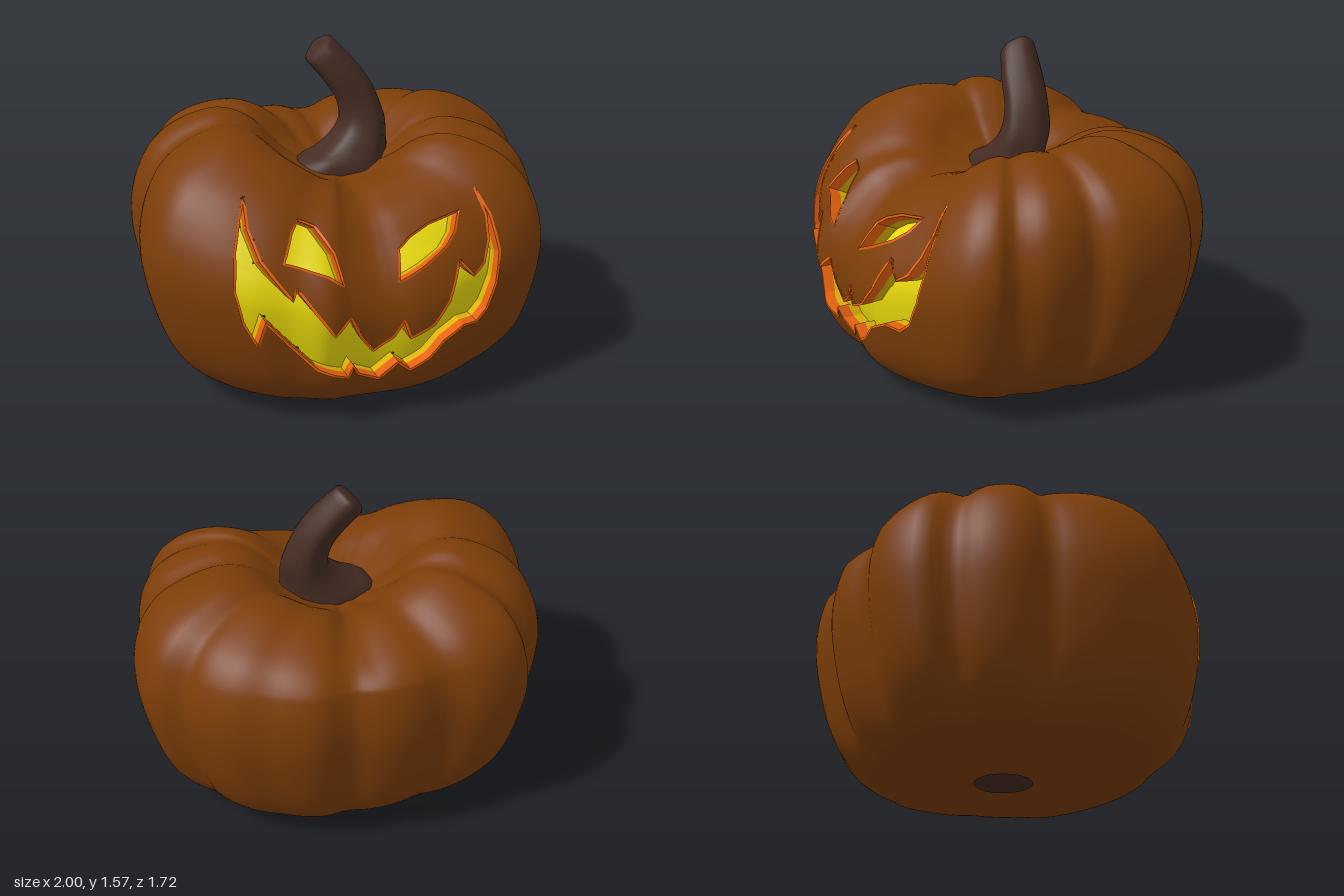
import * as THREE from 'three';

const mat = (name, color, side = THREE.FrontSide) => {
  const m = new THREE.MeshStandardMaterial({ color, side });
  m.name = name;
  return m;
};
const pairs = (a) => Array.from({ length: a.length / 2 }, (_, i) => new THREE.Vector2(a[2 * i], a[2 * i + 1]));
const clamp01 = (v) => Math.min(1, Math.max(0, v));

// Lobed outline of the pumpkin seen from above (x, z)
const OUTLINE = pairs([0, .83, .12, .85, .3, .83, .45, .78, .55, .74, .68, .7, .8, .63, .86, .52, .84, .43,
  .92, .3, .93, .15, .91, .06, .98, -.03, 1, -.2, .97, -.38, .92, -.45, .83, -.5, .78, -.6, .65, -.72, .5, -.78,
  .4, -.83, .27, -.86, .1, -.82, 0, -.85, -.1, -.86, -.2, -.84, -.35, -.78, -.5, -.79, -.65, -.74, -.77, -.64,
  -.79, -.5, -.88, -.42, -.94, -.3, -.95, -.2, -.92, -.1, -.96, 0, -1, .2, -.97, .42, -.87, .55, -.75, .66,
  -.6, .75, -.45, .79, -.3, .85, -.2, .83, -.07, .82]);
// Bottom-to-top profiles (share of radius, height): round sides and a sloping front
const SIDE = pairs([0, .005, .35, .01, .62, .03, .76, .09, .87, .22, .95, .42, 1, .68, .98, .88, .9, 1.04,
  .77, 1.14, .58, 1.2, .42, 1.16, .28, 1.04, .15, .97, 0, .95]);
const FRONT = pairs([0, .005, .35, .01, .66, .03, .84, .08, .95, .2, 1, .38, 1, .55, .93, .7, .8, .83,
  .68, .92, .52, .965, .4, .97, .28, .96, .15, .95, 0, .95]);
// Carved openings in the front plane (x, y)
const CUTS = {
  mouth: pairs([-.6, 1.06, -.61, .95, -.58, .83, -.52, .74, -.46, .655, -.44, .71, -.38, .62, -.29, .49, -.21, .56,
    -.16, .45, -.1, .37, -.01, .43, .04, .51, .07, .42, .18, .47, .26, .57, .33, .73, .4, .65, .46, .69, .5, .78,
    .51, .88, .48, .99, .53, .88, .555, .72, .53, .58, .48, .46, .42, .41, .34, .42, .24, .37, .17, .29, .08, .24,
    .02, .29, -.06, .2, -.16, .25, -.19, .3, -.21, .24, -.36, .31, -.47, .43, -.58, .56, -.61, .43, -.67, .55,
    -.7, .7, -.68, .86, -.64, .98]),
  rightEye: pairs([-.48, .81, -.42, .92, -.38, .96, -.31, .93, -.25, .83, -.23, .7, -.3, .75, -.38, .775]),
  leftEye: pairs([.03, .675, .06, .8, .12, .84, .22, .88, .38, .91, .34, .84, .28, .79, .16, .73]),
};

const TAU = Math.PI * 2, BINS = 720;
const radii = new Array(BINS).fill(.9);
const ring = new THREE.CatmullRomCurve3(OUTLINE.map((p) => new THREE.Vector3(p.x, 0, p.y)), true);
for (let i = 0; i < 6000; i++) {
  const p = ring.getPoint(i / 6000);
  radii[Math.floor((Math.atan2(p.x, p.z) / TAU + 1) * BINS) % BINS] = Math.hypot(p.x, p.z);
}
const evened = radii.map((_, i) => {
  let s = 0;
  for (let k = -45; k <= 45; k++) s += radii[(i + k + BINS) % BINS];
  return s / 91;
});
const sample = (table, a) => {
  const f = (a / TAU + 2) * BINS - .5, i = Math.floor(f);
  return THREE.MathUtils.lerp(table[i % BINS], table[(i + 1) % BINS], f - i);
};
const sideCurve = new THREE.SplineCurve(SIDE), frontCurve = new THREE.SplineCurve(FRONT);

// Point on the skin: a = angle from the front, t = 0 bottom centre to 1 top centre
function skin(a, t) {
  const s = sideCurve.getPoint(t), f = frontCurve.getPoint(t);
  const w = Math.max(0, Math.cos(a)) ** 2.5, sin = Math.sin(a);
  const back = clamp01(-3 * Math.cos(a));
  const crest = (1 - back * .6 * (1 - Math.min(1, 1.1 * Math.abs(sin)))) * (1 - .1 * sin);
  if (s.y > .95) s.y = .95 + (s.y - .95) * crest;
  s.lerp(f, w);
  const R = sample(radii, a), E = sample(evened, a);
  const r = s.x * THREE.MathUtils.lerp(E, R, clamp01((t - .1) / .2) * (1 - .6 * clamp01((t - .55) / .25)));
  const groove = .4 * (R / E - 1) * Math.sin(Math.PI * clamp01((t - .45) / .5));
  return new THREE.Vector3(r * sin, Math.max(.005, s.y + groove), r * Math.cos(a));
}

// Find the skin coordinates under a front-plane point
function locate(x, y) {
  let lo = -1.3, hi = 1.3, t = .5;
  for (let i = 0; i < 24; i++) {
    const a = (lo + hi) / 2;
    let t0 = .14, t1 = .71;
    for (let k = 0; k < 20; k++) {
      t = (t0 + t1) / 2;
      if (skin(a, t).y < y) t0 = t; else t1 = t;
    }
    if (skin(a, t).x < x) lo = a; else hi = a;
  }
  return { a: (lo + hi) / 2, t };
}

// Subdivided outline of one opening, on the plane and on the skin grid
const DA = 2.1 / 140, DT = .56 / 90;
function traceCut(points) {
  const pts = THREE.ShapeUtils.isClockWise(points) ? [...points].reverse() : points;
  const flat = [];
  pts.forEach((p, i) => {
    const q = pts[(i + 1) % pts.length], n = Math.ceil(p.distanceTo(q) / .03);
    for (let k = 0; k < n; k++) flat.push(p.clone().lerp(q, k / n));
  });
  const where = flat.map((p) => locate(p.x, p.y));
  return {
    flat,
    grid: where.map((c) => new THREE.Vector2(c.a / DA, c.t / DT)),
    depth: where.map((c) => skin(c.a, c.t).z),
  };
}
function inside(poly, x, y) {
  let hit = false;
  poly.forEach((p, i) => {
    const q = poly[(i + 1) % poly.length];
    if ((p.y > y) !== (q.y > y) && x < p.x + (q.x - p.x) * (y - p.y) / (q.y - p.y)) hit = !hit;
  });
  return hit;
}
function nearest(poly, v) {
  let best = null, dist = .62;
  poly.forEach((p, i) => {
    const d = poly[(i + 1) % poly.length].clone().sub(p);
    const c = p.clone().addScaledVector(d, clamp01(v.clone().sub(p).dot(d) / (d.lengthSq() || 1)));
    if (c.distanceTo(v) < dist) { dist = c.distanceTo(v); best = c; }
  });
  return best;
}
function geometry(positions, index) {
  const g = new THREE.BufferGeometry();
  g.setAttribute('position', new THREE.Float32BufferAttribute(positions, 3));
  if (index) g.setIndex(index);
  g.computeVertexNormals();
  return g;
}
// Point pushed into an opening; the sloping upper part also leans downward
const sink = (x, y, z, d) => [x, y - .5 * Math.max(0, d) * clamp01((y - .55) / .25), z - d];

// Skin mesh: grid points near an opening move onto its edge; cells inside become the sunken glow
function skinGeometries(cuts) {
  const cols = [], rows = [], pos = [], sunk = [], uv = [], index = [], glow = cuts.map(() => []);
  for (let i = 0; i < 140; i++) cols.push(-1.05 + i * DA);
  for (let i = 0; i < 110; i++) cols.push(1.05 + i * (TAU - 2.1) / 110);
  for (let i = 0; i < 10; i++) rows.push(i * .016);
  for (let i = 0; i < 90; i++) rows.push(.16 + i * DT);
  for (let i = 0; i <= 20; i++) rows.push(.72 + i * .014);
  for (const t of rows) for (const a of cols) {
    let v = new THREE.Vector2(a / DA, t / DT);
    if (a < 1.1) for (const c of cuts) v = nearest(c.grid, v) || v;
    uv.push(v);
    const p = skin(v.x * DA, v.y * DT);
    pos.push(p.x, p.y, p.z);
    sunk.push(...sink(p.x, p.y, p.z, .1));
  }
  const n = cols.length;
  const add = (...tri) => {
    const x = tri.reduce((s, k) => s + uv[k].x, 0) / 3, y = tri.reduce((s, k) => s + uv[k].y, 0) / 3;
    const hit = tri.some((k) => k % n > 140) ? -1 : cuts.findIndex((c) => inside(c.grid, x, y));
    (hit < 0 ? index : glow[hit]).push(...tri);
  };
  for (let j = 0; j < rows.length - 1; j++) for (let i = 0; i < n; i++) {
    const a = j * n + i, b = j * n + (i + 1) % n;
    add(a, b, b + n);
    add(a, b + n, a + n);
  }
  return { body: geometry(pos, index), glow: glow.map((g) => geometry(sunk, g).toNonIndexed()) };
}

// Strip around an opening between two depths and insets
function wallGeometry(cut, d0, in0, d1, in1) {
  const n = cut.flat.length, pos = [];
  const at = (i, d, inset) => {
    const k = i % n, dir = cut.flat[(k + 1) % n].clone().sub(cut.flat[(k + n - 1) % n]).normalize();
    return sink(cut.flat[k].x - dir.y * inset, cut.flat[k].y + dir.x * inset, cut.depth[k], d);
  };
  for (let i = 0; i < n; i++) {
    const a = at(i, d0, in0), b = at(i + 1, d0, in0), c = at(i + 1, d1, in1), d = at(i, d1, in1);
    pos.push(...a, ...b, ...c, ...a, ...c, ...d);
  }
  return geometry(pos);
}

// Curved stem lofted through tilted rings: x, y, z, half width, half depth, tilt
function stemGeometry() {
  const keys = [[.03, .88, 0, .25, .17, 0], [.045, .975, 0, .225, .155, -.05], [.1, 1.05, -.01, .165, .135, .05],
    [.15, 1.15, -.03, .115, .12, .15], [.125, 1.28, -.05, .093, .105, .4], [.05, 1.4, -.07, .086, .1, .6],
    [-.04, 1.505, -.1, .082, .085, .8]];
  const path = new THREE.CatmullRomCurve3(keys.map((k) => new THREE.Vector3(k[0], k[1], k[2])));
  const size = new THREE.CatmullRomCurve3(keys.map((k) => new THREE.Vector3(k[3], k[4], k[5])));
  const rings = [];
  for (let j = 0; j <= 24; j++) rings.push([...path.getPoint(j / 24).toArray(), ...size.getPoint(j / 24).toArray()]);
  rings.push([-.05, 1.515, -.102, .07, .07, .8], [-.052, 1.517, -.103, 0, 0, .8]);
  const n = 24, pos = [], index = [];
  rings.forEach(([x, y, z, w, d, tilt], j) => {
    for (let i = 0; i < n; i++) {
      const p = i / n * TAU, k = 1 + .05 * Math.cos(5 * p + .6);
      const u = Math.cos(p) * w * k;
      pos.push(x + u * Math.cos(tilt), y + u * Math.sin(tilt), z + Math.sin(p) * d * k);
      if (j === rings.length - 1) continue;
      const a = j * n + i, b = j * n + (i + 1) % n;
      index.push(a, a + n, b, b, a + n, b + n);
    }
  });
  return geometry(pos, index);
}

export function createModel() {
  const skinMat = mat('pumpkin skin', 0x7c3d08), stemMat = mat('stem brown', 0x452c23);
  const rimMat = mat('carved orange', 0xf0660f, THREE.DoubleSide);
  const fleshMat = mat('inner gold', 0xdcb40a, THREE.DoubleSide);
  const glowMat = mat('glow yellow', 0xe8d80a, THREE.DoubleSide);
  const model = new THREE.Group();
  const add = (name, geo, material, parent = model) => {
    const m = new THREE.Mesh(geo, material);
    m.name = name;
    parent.add(m);
    return m;
  };
  const cuts = Object.entries(CUTS).map(([name, pts]) => ({ name, ...traceCut(pts) }));
  const { body, glow } = skinGeometries(cuts);
  add('body', body, skinMat);
  cuts.forEach((cut, i) => {
    const g = new THREE.Group();
    g.name = cut.name;
    model.add(g);
    add('lip', wallGeometry(cut, -.004, -.006, -.004, .006), rimMat, g);
    add('rim', wallGeometry(cut, -.004, .006, .05, .006), rimMat, g);
    add('innerWall', wallGeometry(cut, .05, .006, .1, .002), fleshMat, g);
    add('glow', glow[i], glowMat, g);
  });
  add('stem', stemGeometry(), stemMat);
  // Dark scar under the body
  const scar = add('bottomScar', new THREE.CircleGeometry(.14, 20), stemMat);
  scar.rotation.x = Math.PI / 2;
  return model;
}
